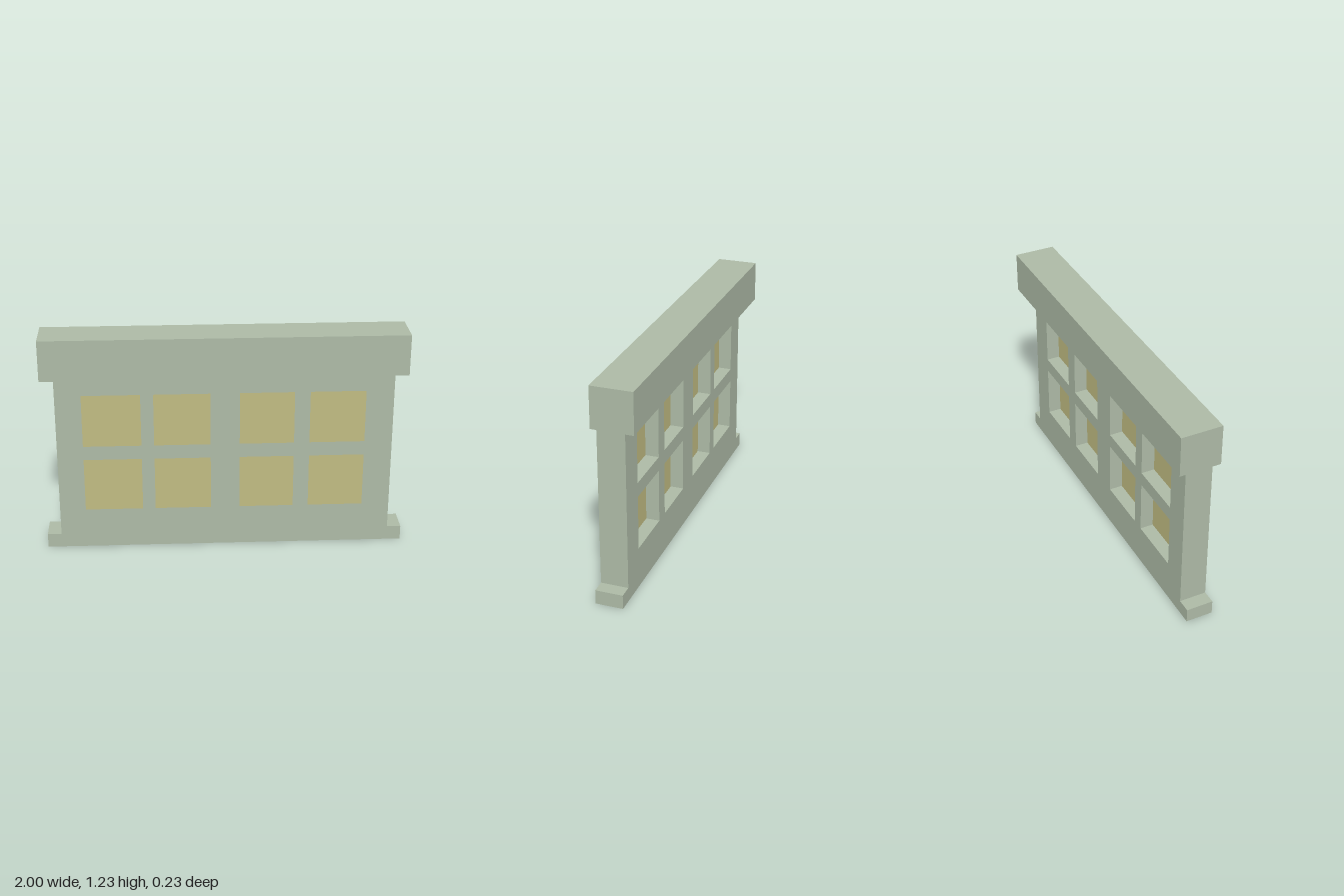
import * as THREE from 'three';

const FRONT = 0.115, BACK = -0.037, PANE_BACK = 0.038;
const COLUMNS = [[-0.78, -0.46], [-0.39, -0.08], [0.08, 0.38], [0.465, 0.77]];
const ROWS = [[0.23, 0.535], [0.615, 0.915]];

export function createModel() {
  const group = new THREE.Group();
  const paint = new THREE.MeshStandardMaterial({ color: 0xadbaa6 });
  paint.name = 'sage paint';
  const glass = new THREE.MeshStandardMaterial({ color: 0xc0bb82 });
  glass.name = 'warm glass';

  const box = (name, material, [x0, x1], [y0, y1], [z0, z1]) => {
    const mesh = new THREE.Mesh(new THREE.BoxGeometry(x1 - x0, y1 - y0, z1 - z0), material);
    mesh.position.set((x0 + x1) / 2, (y0 + y1) / 2, (z0 + z1) / 2);
    mesh.name = name;
    group.add(mesh);
  };

  // Wall with a wider sill at its foot, pierced by the window openings
  const outline = [[-1, 0], [1, 0], [1, 0.08], [0.923, 0.08], [0.923, 1], [-0.923, 1], [-0.923, 0.08], [-1, 0.08]];
  const shape = new THREE.Shape(outline.map(([x, y]) => new THREE.Vector2(x, y)));
  for (const [x0, x1] of COLUMNS) {
    for (const [y0, y1] of ROWS) {
      shape.holes.push(new THREE.Path([
        new THREE.Vector2(x0, y0), new THREE.Vector2(x0, y1),
        new THREE.Vector2(x1, y1), new THREE.Vector2(x1, y0),
      ]));
      // Pane flush with the front, recessed at the back
      box('windowPane', glass, [x0, x1], [y0, y1], [PANE_BACK, FRONT]);
    }
  }
  const wall = new THREE.Mesh(
    new THREE.ExtrudeGeometry(shape, { depth: FRONT - BACK, bevelEnabled: false }), paint);
  wall.position.z = BACK;
  wall.name = 'wallAndSill';
  group.add(wall);

  // Deep lintel that overhangs the back
  box('lintel', paint, [-1, 1], [1, 1.23], [-0.115, FRONT]);

  return group;
}
